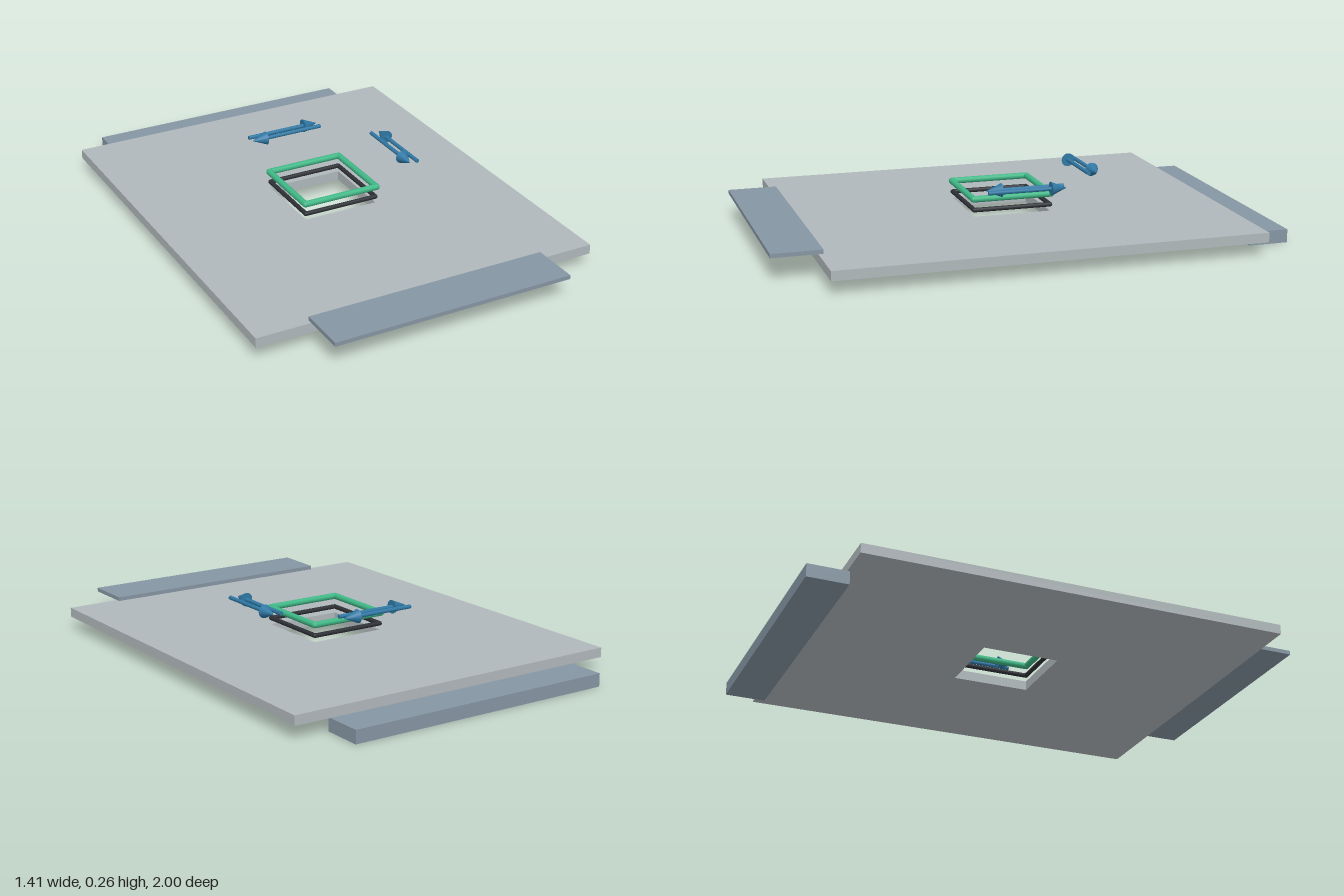
import * as THREE from 'three';

const CZ = -0.013; // centre line of the plate opening

function material(name, color) {
  const m = new THREE.MeshStandardMaterial({ color });
  m.name = name;
  return m;
}

export function createModel() {
  const model = new THREE.Group();
  model.name = 'slidingPlateAssembly';
  const plateGrey = material('plate grey', 0xb0b8bb);
  const slateGrey = material('slate grey', 0x8696a3);
  const green = material('seal green', 0x3fb886);
  const black = material('rubber black', 0x2d3035);
  const blue = material('arrow blue', 0x2f78a4);

  const add = (parent, name, geometry, mat, x = 0, y = 0, z = 0) => {
    const mesh = new THREE.Mesh(geometry, mat);
    mesh.name = name;
    mesh.position.set(x, y, z);
    parent.add(mesh);
    return mesh;
  };

  // Base plate with a square opening
  const rect = (Type, w, h) => new Type([
    new THREE.Vector2(-w / 2, -h / 2), new THREE.Vector2(w / 2, -h / 2),
    new THREE.Vector2(w / 2, h / 2), new THREE.Vector2(-w / 2, h / 2),
  ]);
  const outline = rect(THREE.Shape, 1.41, 1.675);
  outline.holes.push(rect(THREE.Path, 0.31, 0.31));
  const plate = new THREE.ExtrudeGeometry(outline, { depth: 0.038, bevelEnabled: false });
  plate.rotateX(-Math.PI / 2);
  add(model, 'basePlate', plate, plateGrey, 0, 0.052, CZ);

  // Block under the back edge and thin slab over the front edge
  add(model, 'backBlock', new THREE.BoxGeometry(1.115, 0.052, 0.16), slateGrey, 0, 0.026, -0.92);
  add(model, 'frontSlab', new THREE.BoxGeometry(0.977, 0.016, 0.195), slateGrey, 0, 0.098, 0.9025);

  // Square rings of round bar with rounded corners
  const ring = (name, mat, y, radius, half) => {
    const group = new THREE.Group();
    group.name = name;
    group.position.set(0, y, CZ);
    const bar = new THREE.CylinderGeometry(radius, radius, half * 2, 16);
    const corner = new THREE.SphereGeometry(radius, 16, 10);
    for (const s of [-1, 1]) {
      add(group, 'crossBar', bar, mat, 0, 0, s * half).rotation.z = Math.PI / 2;
      add(group, 'sideBar', bar, mat, s * half, 0, 0).rotation.x = Math.PI / 2;
      for (const t of [-1, 1]) add(group, 'corner', corner, mat, s * half, 0, t * half);
    }
    model.add(group);
  };
  ring('upperRing', green, 0.16, 0.0125, 0.158);
  ring('lowerRing', black, 0.116, 0.009, 0.155);

  // Paired motion arrows; each is built along +y and then turned
  const headLength = 0.063, length = 0.312;
  const shaft = new THREE.CylinderGeometry(0.008, 0.008, length - headLength, 16);
  shaft.translate(0, -headLength / 2, 0);
  const head = new THREE.ConeGeometry(0.027, headLength, 20);
  head.translate(0, (length - headLength) / 2, 0);
  const arrow = (name, x, z, direction) => {
    const group = new THREE.Group();
    group.name = name;
    group.position.set(x, 0.229, z);
    group.quaternion.setFromUnitVectors(new THREE.Vector3(0, 1, 0), direction);
    add(group, 'arrowShaft', shaft, blue);
    add(group, 'arrowHead', head, blue);
    model.add(group);
  };
  arrow('arrowToLeft', 0, -0.363, new THREE.Vector3(1, 0, 0));
  arrow('arrowToRight', 0, -0.329, new THREE.Vector3(-1, 0, 0));
  arrow('arrowToFront', 0.31, CZ, new THREE.Vector3(0, 0, 1));
  arrow('arrowToBack', 0.345, CZ, new THREE.Vector3(0, 0, -1));

  return model;
}
